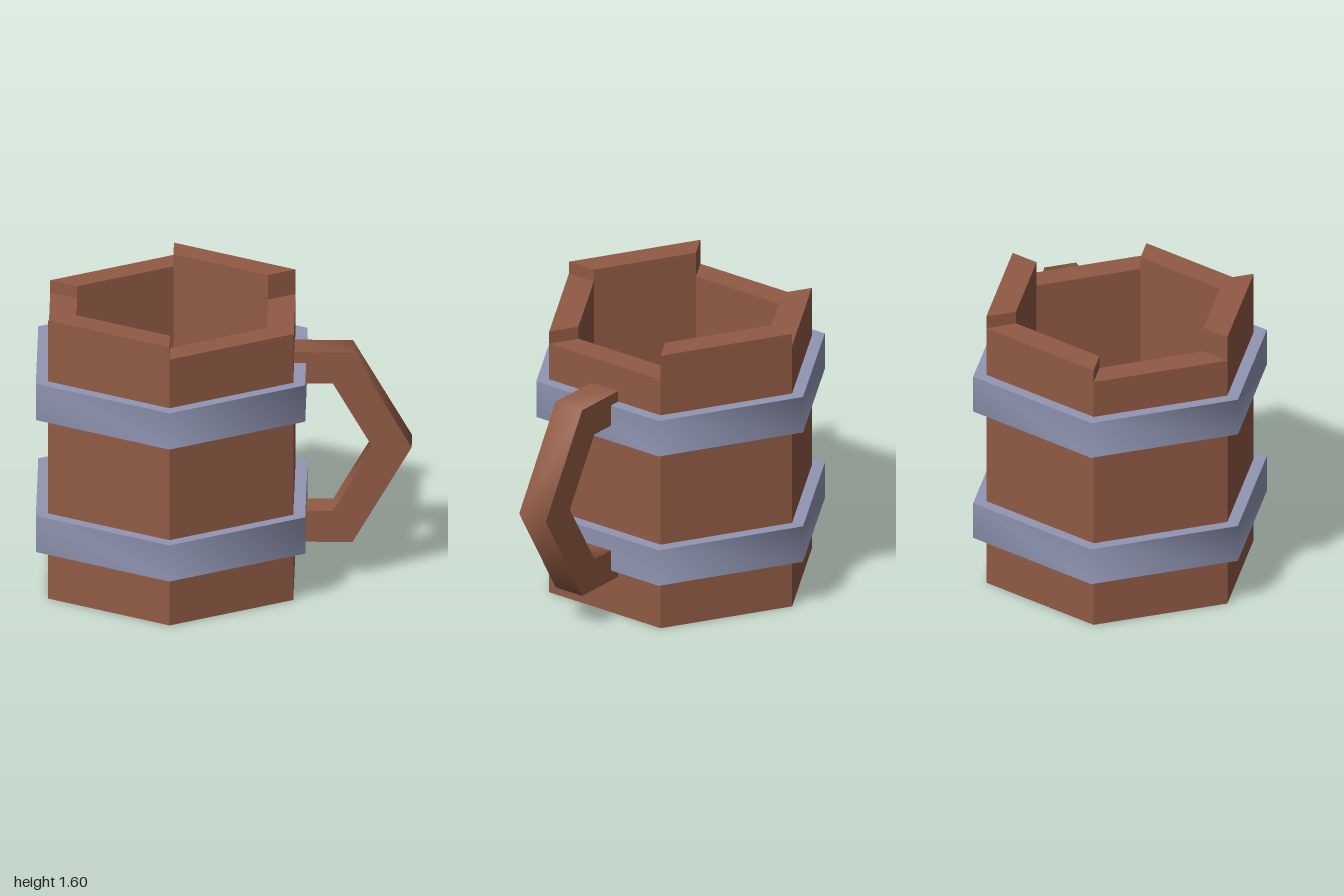
import * as THREE from 'three';
import { toCreasedNormals } from 'three/addons/utils/BufferGeometryUtils.js';

const wood = new THREE.MeshStandardMaterial({ color: 0x905a44 });
wood.name = 'wood';
const metal = new THREE.MeshStandardMaterial({ color: 0x9196b3 });
metal.name = 'metal';

const OUTER = 0.755, INNER = 0.587, BAND = 0.829;

// Corner of a hexagon that has points on the z axis
const corner = (r, k) => {
  const a = THREE.MathUtils.degToRad(30 + 60 * k);
  return new THREE.Vector2(r * Math.cos(a), r * Math.sin(a));
};
const hexagon = (r) => [0, 1, 2, 3, 4, 5].map((k) => corner(r, k));

// Extrude a ground plan straight up
const raise = (shape, height) =>
  new THREE.ExtrudeGeometry(shape, { depth: height, bevelEnabled: false }).rotateX(-Math.PI / 2);

function add(parent, name, geometry, material) {
  const mesh = new THREE.Mesh(geometry, material);
  mesh.name = name;
  parent.add(mesh);
  return mesh;
}

export function createModel() {
  const model = new THREE.Group();
  model.name = 'mug';

  const barrel = new THREE.Group();
  barrel.name = 'barrel';
  barrel.position.x = -0.28;
  model.add(barrel);

  // Six mitred staves with uneven tops
  const plan = new THREE.Shape([corner(INNER, -1), corner(OUTER, -1), corner(OUTER, 0), corner(INNER, 0)]);
  [1.455, 1.525, 1.595, 1.455, 1.525, 1.595].forEach((height, k) => {
    add(barrel, 'stave', raise(plan, height), wood).rotation.y = -k * Math.PI / 3;
  });

  // Floor of the mug
  add(barrel, 'floor', raise(new THREE.Shape(hexagon(INNER)), 0.17), wood);

  // Metal bands, softly shaded around their corners
  const ring = new THREE.Shape(hexagon(BAND));
  ring.holes.push(new THREE.Path(hexagon(0.74)));
  const bandGeometry = toCreasedNormals(raise(ring, 0.208), 1.2);
  add(barrel, 'lowerBand', bandGeometry, metal).position.y = 0.281;
  add(barrel, 'upperBand', bandGeometry, metal).position.y = 1.038;

  // Angular handle, ends set into the wall
  const side = new THREE.Shape([
    [0.32, 0.22], [0.685, 0.22], [1, 0.764], [0.685, 1.307], [0.32, 1.307],
    [0.32, 1.128], [0.58, 1.128], [0.792, 0.764], [0.58, 0.397], [0.32, 0.397],
  ].map(([x, y]) => new THREE.Vector2(x, y)));
  const handle = new THREE.ExtrudeGeometry(side, { depth: 0.18, bevelEnabled: false }).translate(0, 0, -0.09);
  add(model, 'handle', toCreasedNormals(handle, 1.2), wood);

  return model;
}
